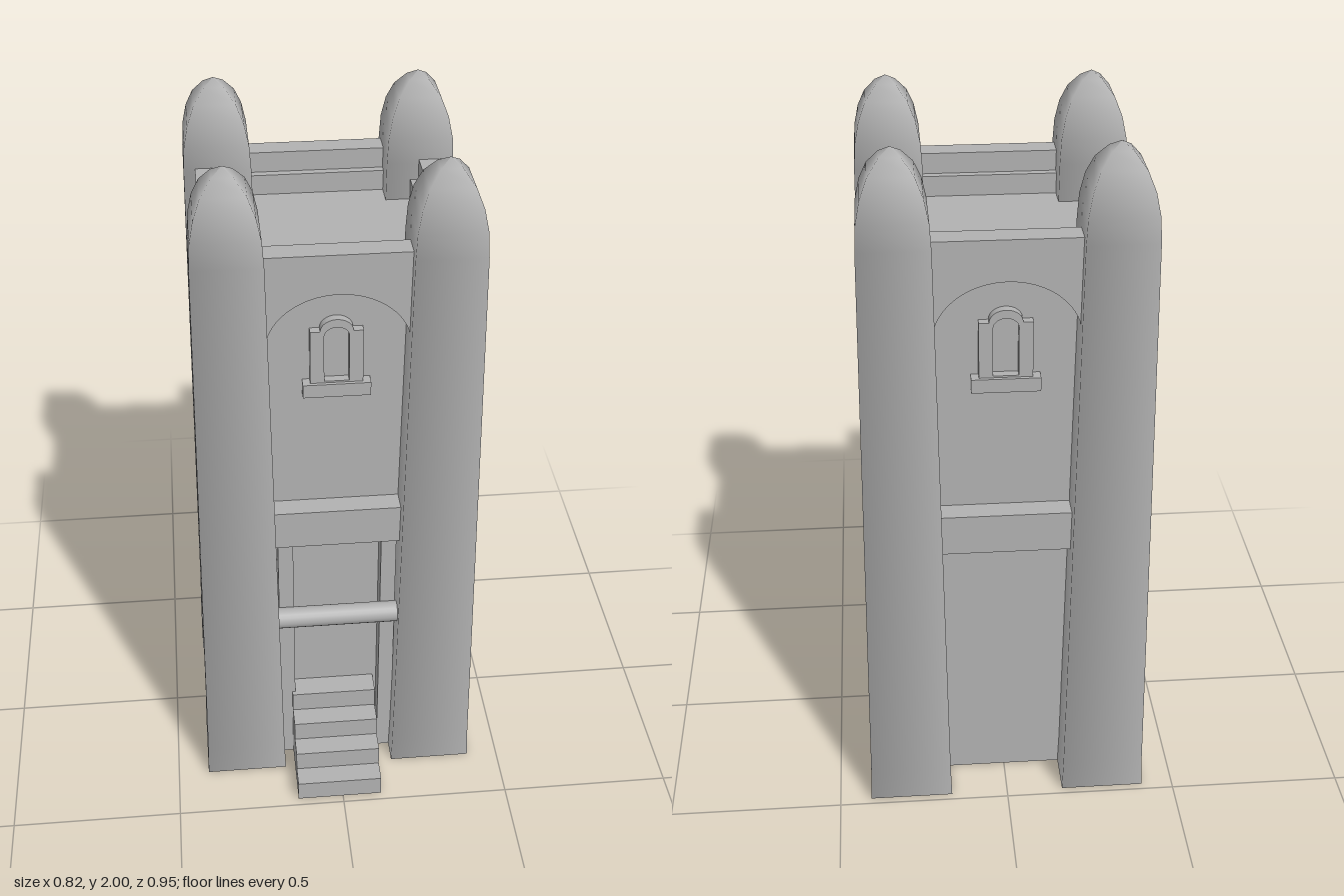
import * as THREE from 'three';

const stone = new THREE.MeshStandardMaterial({ color: 0xb2b2b2 });
stone.name = 'stone';

const CZ = -0.07;      // centre of the tower body in z
const WALL = 0.283;    // half width of the recessed walls
const OUTER = 0.35;    // half width of parapet and band

function add(parent, name, geometry, x = 0, y = 0, z = 0) {
  const mesh = new THREE.Mesh(geometry, stone);
  mesh.name = name;
  mesh.position.set(x, y, z);
  parent.add(mesh);
  return mesh;
}

// Box given by its limits
function block(parent, name, x0, x1, y0, y1, z0, z1) {
  return add(parent, name, new THREE.BoxGeometry(x1 - x0, y1 - y0, z1 - z0),
    (x0 + x1) / 2, (y0 + y1) / 2, (z0 + z1) / 2);
}

function extrude(shape, depth) {
  return new THREE.ExtrudeGeometry(shape, { depth, bevelEnabled: false, curveSegments: 16 });
}

// Tapering square corner turret with a pointed dome
function cornerTurret(x, z) {
  const group = new THREE.Group();
  group.name = 'cornerTurret';
  const profile = [
    [0.121, 0], [0.118, 0.1], [0.107, 0.9], [0.095, 1.76], [0.091, 1.83],
    [0.079, 1.89], [0.059, 1.94], [0.028, 1.98], [0, 2],
  ].map(([r, y]) => new THREE.Vector2(r * Math.SQRT2, y));
  add(group, 'turretShaft', new THREE.LatheGeometry(profile, 4, Math.PI / 4));
  const base = add(group, 'turretBase', new THREE.CircleGeometry(0.121 * Math.SQRT2, 4, Math.PI / 4));
  base.rotation.x = Math.PI / 2;
  group.position.set(x, 0, z);
  return group;
}

// Parapet slab whose lower edge is cut by an arch
function archPanel() {
  const s = new THREE.Shape();
  s.moveTo(0.2, 1.49);
  s.lineTo(0.2, 1.77);
  s.lineTo(-0.2, 1.77);
  s.lineTo(-0.2, 1.49);
  s.absellipse(0, 1.49, 0.195, 0.165, Math.PI, 0, true);
  return extrude(s, OUTER - WALL);
}

// Window surround with raised arched head and open centre
function windowFrame() {
  const s = new THREE.Shape();
  s.moveTo(-0.072, 1.36);
  s.lineTo(0.072, 1.36);
  s.lineTo(0.072, 1.52);
  s.lineTo(0.045, 1.52);
  s.absellipse(0, 1.52, 0.045, 0.036, 0, Math.PI, false);
  s.lineTo(-0.072, 1.52);
  s.closePath();
  const hole = new THREE.Path();
  hole.moveTo(-0.034, 1.365);
  hole.lineTo(-0.034, 1.505);
  hole.absellipse(0, 1.505, 0.034, 0.027, Math.PI, 0, true);
  hole.lineTo(0.034, 1.365);
  hole.closePath();
  s.holes.push(hole);
  return extrude(s, 0.025);
}

// One side: arch, parapet ledge, band and window, facing +z
function wallSide() {
  const group = new THREE.Group();
  group.name = 'wallSide';
  add(group, 'archedParapet', archPanel(), 0, 0, WALL);
  block(group, 'parapetLedge', -0.26, 0.26, 1.64, 1.71, 0.26, WALL);
  block(group, 'stringBand', -0.19, 0.19, 0.83, 0.95, WALL - 0.01, OUTER - 0.003);
  add(group, 'windowFrame', windowFrame(), 0, 0, WALL);
  block(group, 'windowSill', -0.093, 0.093, 1.32, 1.36, WALL - 0.005, WALL + 0.035);
  return group;
}

// Doorway with posts, rounded lintel and steps
function entrance() {
  const group = new THREE.Group();
  group.name = 'entrance';
  const front = CZ + WALL;
  for (const side of [-1, 1]) {
    const x = side * 0.15;
    block(group, 'doorPost', x - 0.022, x + 0.022, 0, 0.84, front - 0.005, 0.268);
  }
  const lintel = add(group, 'roundLintel', new THREE.CylinderGeometry(0.031, 0.031, 0.36, 20), 0, 0.57, 0.284);
  lintel.rotation.z = Math.PI / 2;

  const steps = new THREE.Shape();
  steps.moveTo(front, 0);
  steps.lineTo(0.475, 0);
  for (let i = 0; i < 4; i++) {
    const z = 0.475 - i * 0.064, y = (i + 1) * 0.063;
    steps.lineTo(z, y);
    steps.lineTo(i < 3 ? z - 0.064 : front, y);
  }
  const stair = add(group, 'entranceSteps', extrude(steps, 0.254), -0.137, 0, 0);
  stair.rotation.y = -Math.PI / 2;
  stair.position.x = 0.117;
  return group;
}

export function createModel() {
  const model = new THREE.Group();
  model.name = 'tower';

  block(model, 'towerBody', -WALL, WALL, 0, 1.65, CZ - WALL, CZ + WALL);

  for (const sx of [-1, 1])
    for (const sz of [-1, 1])
      model.add(cornerTurret(sx * 0.287, CZ + sz * 0.288));

  for (let i = 0; i < 4; i++) {
    const side = wallSide();
    side.position.z = CZ;
    side.rotation.y = i * Math.PI / 2;
    model.add(side);
  }

  model.add(entrance());
  return model;
}
